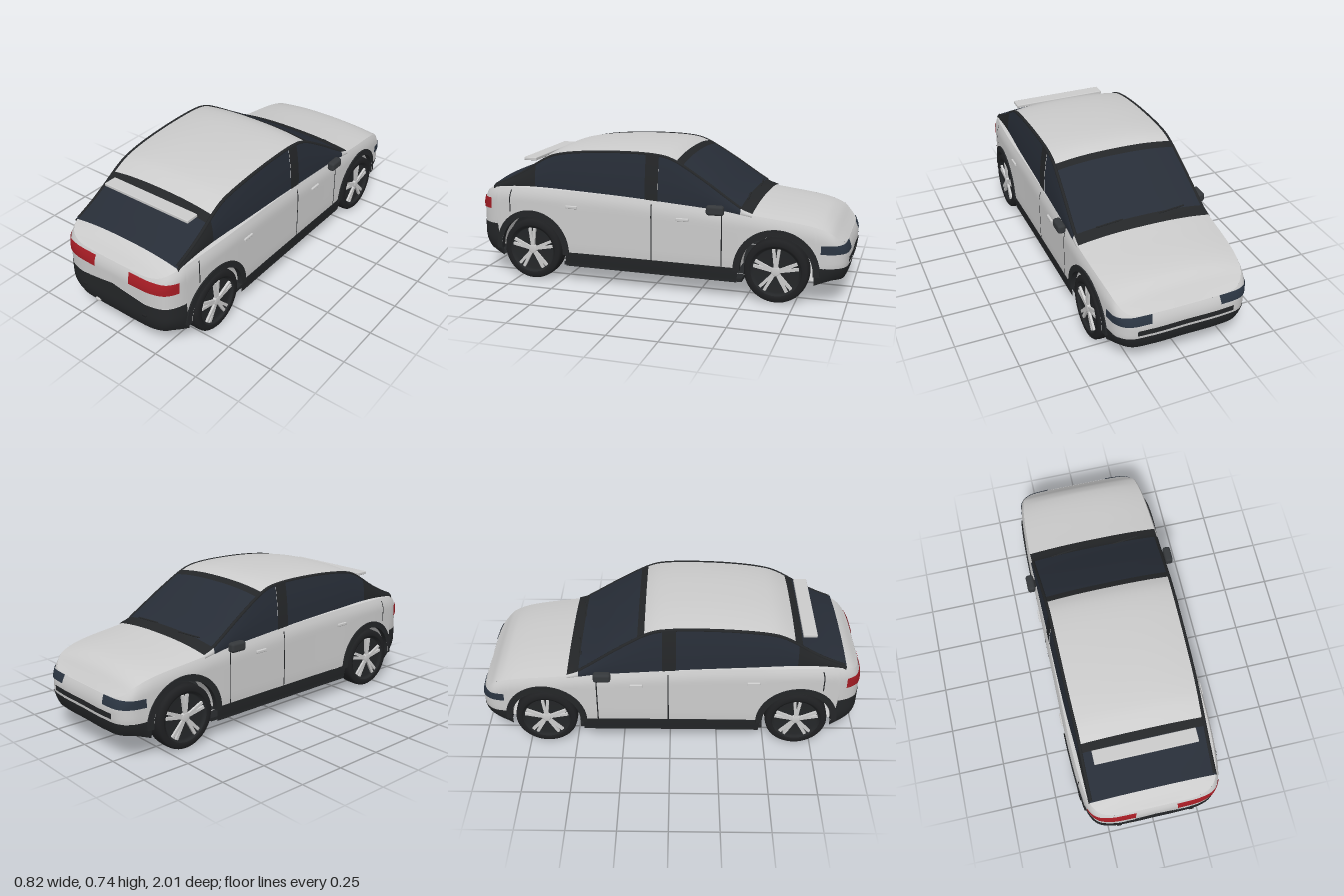
import * as THREE from 'three';
import { RoundedBoxGeometry } from 'three/addons/geometries/RoundedBoxGeometry.js';

const mat = (color) => new THREE.MeshStandardMaterial({ color, side: THREE.DoubleSide });
const paint = mat(0xcccccc), black = mat(0x242628), glass = mat(0x272d37);
const rubber = mat(0x1f2022), red = mat(0xa51c24), lamp = mat(0x2b3542), trim = mat(0x35383b);

const { clamp, lerp } = THREE.MathUtils;

// Smooth interpolation through [z, value] pairs
function along(table) {
  const slope = (i) => {
    const a = table[Math.max(0, i - 1)], b = table[Math.min(table.length - 1, i + 1)];
    return (b[1] - a[1]) / (b[0] - a[0]);
  };
  return (z) => {
    z = clamp(z, table[0][0], table[table.length - 1][0]);
    let i = 0;
    while (i < table.length - 2 && z > table[i + 1][0]) i++;
    const [z0, a] = table[i], [z1, b] = table[i + 1], h = z1 - z0, t = (z - z0) / h;
    const t2 = t * t, t3 = t2 * t;
    return (2 * t3 - 3 * t2 + 1) * a + (t3 - 2 * t2 + t) * h * slope(i)
      + (3 * t2 - 2 * t3) * b + (t3 - t2) * h * slope(i + 1);
  };
}

// Body lines along the length (tail at +z, nose at -z)
const shoulder = along([[-1, .31], [-.97, .335], [-.925, .372], [-.82, .405], [-.6, .433], [-.47, .446],
  [-.2, .465], [.2, .488], [.65, .497], [.88, .487], [.95, .468], [1, .435]]);
const roofLine = along([[-.53, .472], [-.47, .495], [-.285, .615], [-.125, .708], [-.05, .73], [.1, .738],
  [.33, .73], [.52, .706], [.6, .675], [.715, .605], [.8, .56], [.9, .518]]);
const cabinTaper = along([[-.53, 1], [0, 1], [.4, .985], [.65, .95], [.9, .92]]);

// Plan outline of one half, from tail centre to nose centre
const outline = new THREE.CatmullRomCurve3([[0, 1], [.12, 1], [.24, .993], [.305, .967], [.342, .91],
  [.362, .8], [.374, .6], [.374, .2], [.374, -.2], [.374, -.5], [.366, -.72], [.352, -.87], [.335, -.94],
  [.29, -.985], [.18, -1], [0, -1]].map(([x, z]) => new THREE.Vector3(x, 0, z)), false, 'centripetal');
const L = outline.getLength();
const HUB = .163, ARCH = .19, WHEELS = [.665, -.655];

// Plan point and outward normal at distance s around the car
function plan(s) {
  const side = s < 0 || s > L ? -1 : 1;
  const u = clamp((s < 0 ? -s : s > L ? 2 * L - s : s) / L, 0, 1);
  const p = outline.getPointAt(u), t = outline.getTangentAt(u);
  return { x: side * p.x, z: p.z, nx: -side * t.z, nz: t.x };
}
// Skin rolls in at the shoulder and tucks under at the bumpers
function skinPoint(p, y, off = 0) {
  const t = clamp((y - shoulder(p.z) + .07) / .07, 0, 1) ** 2;
  const q = clamp((.22 - y) / .12, 0, 1) ** 2;
  const end = clamp((Math.abs(p.z) - .82) / .13, 0, 1);
  return [p.x * (1 - .04 * t - (.03 + .09 * end) * q) + p.nx * off, y,
    p.z * (1 - .018 * t - .035 * q * end) + p.nz * off];
}
function sAt(z) {
  let a = 0, b = L;
  for (let i = 0; i < 24; i++) {
    const m = (a + b) / 2;
    if (plan(m).z > z) a = m; else b = m;
  }
  return a;
}

function grid(nu, nv, f) {
  const pos = [], idx = [];
  for (let i = 0; i <= nu; i++) for (let j = 0; j <= nv; j++) {
    pos.push(...f(i / nu, j / nv));
    if (i < nu && j < nv) {
      const a = i * (nv + 1) + j, b = a + nv + 1;
      idx.push(a, b, b + 1, a, b + 1, a + 1);
    }
  }
  const g = new THREE.BufferGeometry();
  g.setAttribute('position', new THREE.Float32BufferAttribute(pos, 3));
  g.setIndex(idx);
  g.computeVertexNormals();
  return g;
}

// Lower edge of the wheel opening, of the cladding and of the painted skin
function archY(z) {
  for (const c of WHEELS) if (Math.abs(z - c) < ARCH) return HUB + Math.sqrt(ARCH ** 2 - (z - c) ** 2);
  return .088;
}
const cladLow = (z) => Math.max(archY(z), Math.abs(z) > .84 ? .1 + .3 * Math.min(.1, Math.abs(z) - .84) : 0);
function paintLow(p) {
  let y = .165;
  if (p.z > .87) y = .285 + .03 * Math.max(0, 1 - Math.abs(p.x) / .2);
  if (p.z < -.85) y = .195;
  return Math.max(y, archY(p.z));
}

export function createModel() {
  const car = new THREE.Group();
  const add = (name, geo, m, x = 0, y = 0, z = 0) => {
    const mesh = new THREE.Mesh(geo, m);
    mesh.name = name;
    mesh.position.set(x, y, z);
    car.add(mesh);
    return mesh;
  };
  const pair = (name, geo, m, x = 0, y = 0, z = 0) => {
    add(name + 'Left', geo, m, x, y, z);
    add(name + 'Right', geo, m, -x, y, z).scale.x = -1;
  };
  const box = (w, h, d, r = .004) => new RoundedBoxGeometry(w, h, d, 2, r);

  // Painted shell, and dark bumpers and sills below it
  add('bodyShell', grid(560, 14, (u, v) => {
    const p = plan(u * 2 * L);
    return skinPoint(p, lerp(paintLow(p), shoulder(p.z), v));
  }), paint);
  add('lowerCladding', grid(560, 8, (u, v) => {
    const p = plan(u * 2 * L);
    return skinPoint(p, lerp(cladLow(p.z), paintLow(p), v), .002);
  }), black);

  // Bonnet and boot lid in one crowned skin
  add('bonnetAndDeck', grid(200, 20, (u, v) => {
    const p = plan(u * L), e = skinPoint(p, shoulder(p.z)), k = 1 - 2 * v;
    const crown = (p.z > 0 ? .035 : .029) * Math.min(1, (1 - Math.abs(p.z)) * 9);
    return [e[0] * k, e[1] + crown * (1 - Math.abs(k) ** 2.4), e[2]];
  }), paint);

  // Underside: bumper lips, pan and floor
  for (const [name, mid, end] of [['rearBumperLip', 0, .865], ['frontBumperLip', L, -.855]]) {
    const half = Math.abs(sAt(end) - mid);
    add(name, grid(60, 6, (u, v) => {
      const p = plan(mid + lerp(-half, half, u)), [x, y, z] = skinPoint(p, cladLow(p.z));
      return [x * lerp(.88, 1, v), lerp(.1, y, v), lerp(end, z, v)];
    }), black);
  }
  add('underPan', grid(100, 8, (u, v) => {
    const z = lerp(.88, -.88, u), k = 2 * v - 1;
    const sag = .016 * clamp((.9 - Math.abs(z)) * 7, 0, 1);
    return [.275 * k, .104 - sag * (1 - k * k), z];
  }), paint);
  add('floor', new THREE.BoxGeometry(.69, .018, .97), black, 0, .094, .005);

  // Cabin: sides, then crowned strips from bonnet to boot
  const sideX = (y, z) => (.354 - (y - .48) * .1) * cabinTaper(z);
  const edgeY = (z) => roofLine(z) - .025;
  const cabinSide = (name, z0, z1, m, off = 0) => pair(name, grid(30, 6, (u, v) => {
    const z = lerp(z1, z0, u), y = lerp(Math.min(shoulder(z) - .015, edgeY(z)), edgeY(z), v);
    return [sideX(y, z) + off + .006 * Math.sin(v * Math.PI), y, z];
  }), m);
  cabinSide('scuttleSide', -.53, -.47, paint);
  cabinSide('frontWindow', -.47, -.04, glass);
  cabinSide('doorPillar', -.04, .03, black, .002);
  cabinSide('rearWindow', .03, .65, glass);
  cabinSide('rearQuarter', .65, .9, black);
  const cabinTop = (name, z0, z1, m) => add(name, grid(30, 20, (u, v) => {
    const z = lerp(z1, z0, u), k = 1 - 2 * v;
    return [sideX(edgeY(z), z) * k, edgeY(z) + .025 * (1 - Math.abs(k) ** 2.4), z];
  }), m);
  cabinTop('cowl', -.53, -.47, black);
  cabinTop('windscreen', -.47, -.165, glass);
  cabinTop('windscreenHeader', -.165, -.13, black);
  cabinTop('roof', -.13, .63, paint);
  cabinTop('rearHeader', .63, .67, black);
  cabinTop('rearScreen', .67, .9, glass);
  const rail = [];
  for (let i = 0; i <= 24; i++) {
    const z = lerp(-.47, .89, i / 24), y = edgeY(z);
    rail.push(new THREE.Vector3(sideX(y, z) - .007, y - .003, z));
  }
  pair('roofRail', new THREE.TubeGeometry(new THREE.CatmullRomCurve3(rail), 80, .009, 8), black);

  // Patches laid on the body skin
  const patch = (name, s0, s1, y0, y1, m, off) => {
    for (const [tag, a, b] of [['Left', s0, s1], ['Right', -s1, -s0]])
      add(name + tag, grid(32, 10, (u, v) => skinPoint(plan(lerp(a, b, u)), lerp(y0, y1, v), off)), m);
  };
  patch('tailLight', .11, sAt(.91), .366, .426, red, .004);
  patch('headlight', L - .18, sAt(-.87), .268, .312, lamp, .004);
  patch('grille', L - .25, L, .212, .24, black, .003);
  for (const [z, y0, y1] of [[-.01, .13, .46], [-.38, .13, .43], [.79, .36, .48]])
    patch('panelGap', sAt(z) - .003, sAt(z) + .003, y0, y1, black, .003);

  // Small fittings
  pair('rearDoorHandle', box(.014, .016, .066), paint, .377, .414, .428);
  pair('frontDoorHandle', box(.014, .016, .066), paint, .377, .394, -.175);
  pair('mirror', box(.042, .05, .09, .014), trim, .388, .459, -.348);
  pair('mirrorStalk', box(.05, .018, .04), black, .362, .448, -.35);
  add('spoiler', box(.53, .017, .072), paint, 0, .635, .71);
  pair('rearReflector', box(.026, .014, .012), rubber, .195, .215, .999);
  add('exhaust', box(.03, .02, .06, .008), paint, -.123, .147, .97);
  for (const x of [-.17, .17]) {
    const w = add('wiper', box(.15, .006, .008, .002), black, x, .494, -.475);
    w.rotation.y = .12;
  }

  // Wheel arch flares that follow the body side, and liners
  const ring = new THREE.Shape();
  ring.absarc(0, 0, .215, -.06, Math.PI + .06, false);
  ring.absarc(0, 0, .182, Math.PI + .06, -.06, true);
  const flare = (zw) => {
    const g = new THREE.ExtrudeGeometry(ring, { depth: .03, bevelEnabled: false, curveSegments: 40 });
    g.rotateY(Math.PI / 2);
    const p = g.attributes.position;
    for (let i = 0; i < p.count; i++) p.setX(i, p.getX(i) - .023 + plan(sAt(zw + p.getZ(i))).x);
    g.computeVertexNormals();
    return g;
  };
  const liner = new THREE.CylinderGeometry(.185, .185, .1, 40, 1, true, 0, Math.PI).rotateZ(Math.PI / 2);

  // Wheels: lathed tyre and rim about the x axis, five split spokes
  const lathe = (pts) => new THREE.LatheGeometry(pts.map(([r, x]) => new THREE.Vector2(r, x)), 48)
    .rotateZ(-Math.PI / 2);
  const tyre = lathe([[.118, -.04], [.135, -.048], [.154, -.046], [.161, -.038], [.163, -.02], [.163, .02],
    [.161, .038], [.154, .046], [.135, .048], [.124, .044], [.122, .03]]);
  const rim = lathe([[.118, -.04], [.112, -.03], [.108, 0], [0, .012]]);
  const face = lathe([[.126, .046], [.12, .04], [.112, .028], [0, .028]]);
  const hub = lathe([[.024, .025], [.024, .042], [.018, .045], [0, .045]]);
  const spoke = new THREE.BoxGeometry(.012, .1, .015).translate(0, .066, 0);

  for (const z of WHEELS) {
    pair('archFlare', flare(z), black, 0, HUB, z);
    pair('archLiner', liner, paint, .315, HUB, z);
    for (const side of [1, -1]) {
      const wheel = new THREE.Group();
      wheel.name = z > 0 ? 'rearWheel' : 'frontWheel';
      wheel.position.set(side * .324, HUB, z);
      wheel.scale.x = side;
      const part = (name, g, m) => {
        const p = new THREE.Mesh(g, m);
        p.name = name;
        wheel.add(p);
        return p;
      };
      part('tyre', tyre, rubber);
      part('rimBack', rim, trim);
      part('rimFace', face, black);
      part('hub', hub, paint);
      for (let i = 0; i < 5; i++) for (const d of [-.12, .12]) {
        const s = part('spoke', spoke, paint);
        s.position.x = .037;
        s.rotation.x = i * Math.PI * .4 + d;
      }
      car.add(wheel);
    }
  }
  return car;
}
